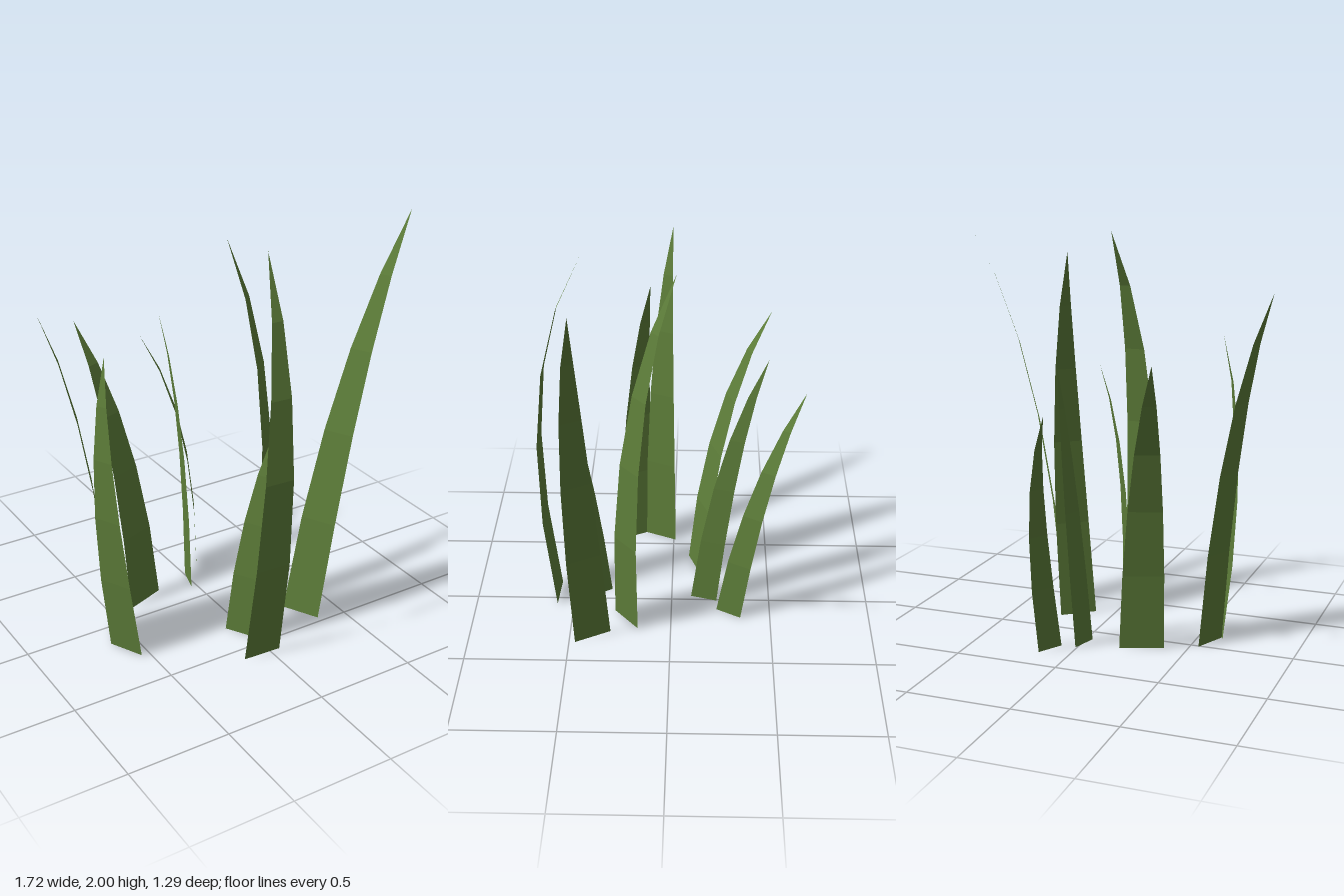
import * as THREE from 'three';

const SEGMENTS = 5;

const grassGreen = new THREE.MeshStandardMaterial({ color: 0x5d7d39, side: THREE.DoubleSide, flatShading: true });
grassGreen.name = 'grassGreen';

// Each blade: two base corners (x, z), centre line at half length and tip (x, y, z)
const BLADES = [
  { name: 'tallRightBlade', a: [0.27, 0.30], b: [0.36, 0.47], mid: [0.525, 1.18, 0.425], tip: [0.86, 2.0, 0.39] },
  { name: 'outerLeaningBlade', a: [-0.61, 0.15], b: [-0.54, -0.01], mid: [-0.68, 1.02, 0.06], tip: [-0.86, 1.71, 0.01] },
  { name: 'outerUprightBlade', a: [-0.62, 0.13], b: [-0.54, 0.29], mid: [-0.653, 0.87, 0.185], tip: [-0.60, 1.49, 0.12] },
  { name: 'wideBackBlade', a: [-0.39, -0.085], b: [-0.19, -0.16], mid: [-0.35, 0.85, -0.25], tip: [-0.45, 1.43, -0.485] },
  { name: 'shortBackBlade', a: [0.08, -0.23], b: [0.148, -0.35], mid: [0.115, 0.71, -0.43], tip: [-0.01, 1.21, -0.64] },
  { name: 'centreBlade', a: [0.10, 0.285], b: [0.245, 0.165], mid: [0.215, 1.10, 0.175], tip: [0.125, 1.87, -0.025] },
  { name: 'tallFrontBlade', a: [-0.14, 0.575], b: [0.05, 0.585], mid: [0.0, 1.14, 0.63], tip: [0.065, 1.94, 0.40] },
  { name: 'shortFrontBlade', a: [-0.08, 0.31], b: [0.02, 0.48], mid: [0.03, 0.75, 0.455], tip: [0.155, 1.26, 0.48] },
  { name: 'narrowBackBlade', a: [-0.03, -0.10], b: [0.008, -0.23], mid: [0.013, 0.82, -0.285], tip: [0.0, 1.39, -0.455] },
];

// Flat strip along a parabola, tapering to a point
function bladeGeometry({ a, b, mid, tip }) {
  const base = new THREE.Vector3((a[0] + b[0]) / 2, 0, (a[1] + b[1]) / 2);
  const half = new THREE.Vector3((b[0] - a[0]) / 2, 0, (b[1] - a[1]) / 2);
  const end = new THREE.Vector3(...tip);
  const bend = new THREE.Vector3(...mid).sub(base.clone().lerp(end, 0.5));
  const positions = [];
  const indices = [];
  for (let i = 0; i < SEGMENTS; i++) {
    const t = i / SEGMENTS;
    const centre = base.clone().lerp(end, t).addScaledVector(bend, 4 * t * (1 - t));
    const taper = 1 - t ** 1.6;
    for (const side of [-1, 1]) {
      positions.push(...centre.clone().addScaledVector(half, side * taper).toArray());
    }
    const k = 2 * i;
    if (i < SEGMENTS - 1) indices.push(k, k + 1, k + 3, k, k + 3, k + 2);
    else indices.push(k, k + 1, k + 2);
  }
  positions.push(...tip);
  const geometry = new THREE.BufferGeometry();
  geometry.setAttribute('position', new THREE.Float32BufferAttribute(positions, 3));
  geometry.setIndex(indices);
  const flat = geometry.toNonIndexed();
  flat.computeVertexNormals();
  return flat;
}

export function createModel() {
  const tuft = new THREE.Group();
  tuft.name = 'grassTuft';
  for (const blade of BLADES) {
    const mesh = new THREE.Mesh(bladeGeometry(blade), grassGreen);
    mesh.name = blade.name;
    tuft.add(mesh);
  }
  return tuft;
}
